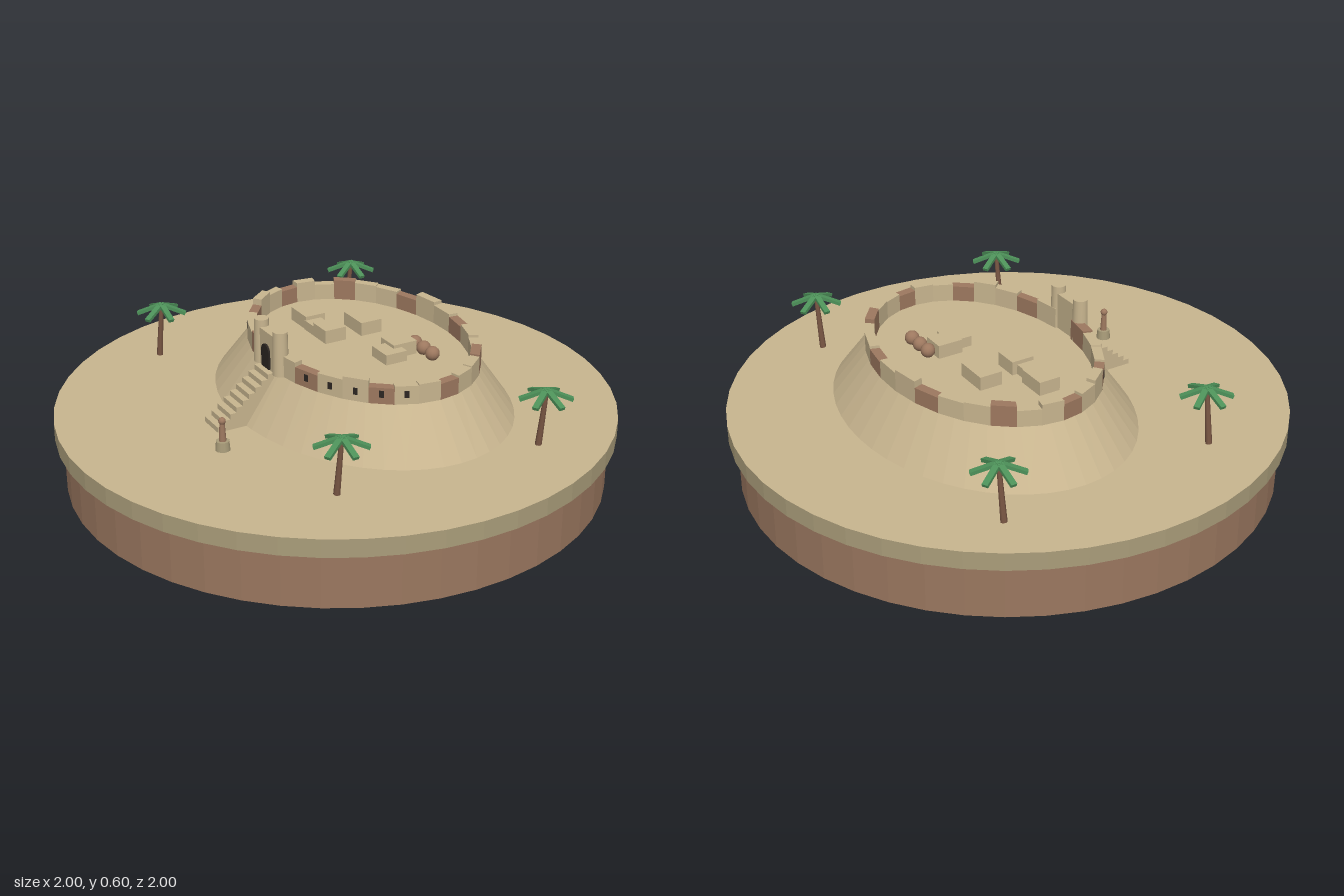
import * as THREE from 'three';

const mat = (name, color) => Object.assign(new THREE.MeshStandardMaterial({ color }), { name });
const sand = mat('sand', 0xc8b58f);
const rim = mat('dry rim', 0xaa9d7a);
const earth = mat('earth', 0x9a775f);
const clay = mat('clay brick', 0x9d785f);
const wood = mat('wood', 0x7a5744);
const leaf = mat('palm leaf', 0x4d9159);
const dark = mat('dark opening', 0x2b2521);

// Faceted normals
const flat = (g) => {
  const f = g.index ? g.toNonIndexed() : g;
  f.computeVertexNormals();
  return f;
};

function add(parent, name, geometry, material, x = 0, y = 0, z = 0, ry = 0) {
  const m = new THREE.Mesh(geometry, material);
  m.name = name;
  m.position.set(x, y, z);
  m.rotation.y = ry;
  parent.add(m);
  return m;
}

const GROUND = 0.265, PLATEAU = 0.44;
const RX = 0.515, RZ = 0.375, THICK = 0.035;
const onEllipse = (a, inset = 0) =>
  new THREE.Vector2((RX - inset) * Math.cos(a), (RZ - inset) * Math.sin(a));

// Elliptical mound from two rings and a cap
function moundGeometry() {
  const n = 48, pos = [], idx = [];
  const ring = (rx, rz, y) => {
    for (let i = 0; i < n; i++) {
      const a = (i / n) * Math.PI * 2;
      pos.push(rx * Math.cos(a), y, rz * Math.sin(a));
    }
  };
  ring(0.651, 0.493, GROUND);
  ring(0.51, 0.37, PLATEAU);
  pos.push(0, PLATEAU, 0);
  for (let i = 0; i < n; i++) {
    const j = (i + 1) % n;
    idx.push(i, n + i, j, j, n + i, n + j, n + i, 2 * n, n + j);
  }
  const g = new THREE.BufferGeometry();
  g.setAttribute('position', new THREE.Float32BufferAttribute(pos, 3));
  g.setIndex(idx);
  return flat(g);
}

// Ring wall of uneven brick segments with small openings at the front
function addWall(parent) {
  const n = 30, step = (Math.PI * 2) / n;
  const heights = [0.07, 0.06, 0.082, 0.066, 0.076, 0.07, 0.058];
  for (let i = 0; i < n; i++) {
    if (i === 7) continue; // gateway
    const a = i * step, b = a + step;
    const h = heights[(i * 3 + (i >> 3)) % heights.length];
    const shape = new THREE.Shape([onEllipse(a), onEllipse(b), onEllipse(b, THICK), onEllipse(a, THICK)]);
    const g = new THREE.ExtrudeGeometry(shape, { depth: h, bevelEnabled: false });
    g.rotateX(Math.PI / 2);
    add(parent, 'wallSegment', g, i % 3 === 2 ? clay : sand, 0, PLATEAU + h, 0);
    if (i >= 1 && i <= 11 && i !== 9 && i !== 6) {
      const p = onEllipse(a), q = onEllipse(b);
      add(parent, 'wallOpening', new THREE.BoxGeometry(0.016, 0.024, 0.006), dark,
        (p.x + q.x) / 2, PLATEAU + 0.036, (p.y + q.y) / 2, Math.atan2(q.y - p.y, p.x - q.x));
    }
  }
}

// Gatehouse: two round towers, a linking wall and an arched door
function addGate(parent) {
  const gate = new THREE.Group();
  gate.name = 'gate';
  gate.position.set(0, PLATEAU, 0.364);
  parent.add(gate);
  for (const s of [-1, 1])
    add(gate, 'gateTower', new THREE.CylinderGeometry(0.026, 0.029, 0.16, 16), sand, s * 0.069, 0.08, 0);
  add(gate, 'gateWall', new THREE.BoxGeometry(0.11, 0.135, 0.035), sand, 0, 0.0675, 0);
  const arch = new THREE.Shape();
  arch.moveTo(-0.027, 0);
  arch.lineTo(0.027, 0);
  arch.lineTo(0.027, 0.06);
  arch.absarc(0, 0.06, 0.027, 0, Math.PI, false);
  const door = new THREE.ExtrudeGeometry(arch, { depth: 0.008, bevelEnabled: false, curveSegments: 10 });
  add(gate, 'gateDoor', door, dark, 0, 0.004, 0.0165);
}

// Solid steps down from the gate
function addStairs(parent) {
  const n = 9, run = 0.0245, rise = (PLATEAU - GROUND) / n;
  for (let i = 0; i < n; i++) {
    const h = PLATEAU - GROUND - i * rise;
    add(parent, 'stairStep', new THREE.BoxGeometry(0.1, h, run), sand, 0, GROUND + h / 2, 0.392 + i * run);
  }
}

// Palm: leaning trunk and six drooping fronds
function addPalm(parent, x, z) {
  const palm = new THREE.Group();
  palm.name = 'palm';
  palm.position.set(x, GROUND, z);
  parent.add(palm);
  const trunk = add(palm, 'palmTrunk', new THREE.CylinderGeometry(0.008, 0.012, 0.2, 7), wood, -0.01, 0.1, 0);
  trunk.rotation.z = -0.1;
  const frond = new THREE.BoxGeometry(0.096, 0.012, 0.021);
  frond.translate(0.048, 0, 0);
  frond.rotateZ(-0.37);
  for (let i = 0; i < 6; i++)
    add(palm, 'palmFrond', frond, leaf, 0, 0.21, 0, -(20 + 60 * i) * Math.PI / 180);
}

export function createModel() {
  const model = new THREE.Group();
  model.name = 'desertFort';

  // Round base
  add(model, 'earthBase', flat(new THREE.CylinderGeometry(0.97, 0.97, 0.2, 48)), earth, 0, 0.1, 0);
  add(model, 'sandDisc', flat(new THREE.CylinderGeometry(1, 1, GROUND - 0.2, 48)), [rim, sand, rim],
    0, (GROUND + 0.2) / 2, 0);

  // Fort on its turned mound
  const fort = new THREE.Group();
  fort.name = 'fort';
  fort.position.set(0.032, 0, -0.105);
  fort.rotation.y = -20 * Math.PI / 180;
  model.add(fort);
  add(fort, 'mound', moundGeometry(), sand);
  addWall(fort);
  addGate(fort);
  addStairs(fort);

  // Houses: x, z, width, height, depth
  const houses = [
    [-0.07, -0.235, 0.125, 0.05, 0.085],
    [-0.255, -0.145, 0.11, 0.05, 0.08],
    [-0.175, -0.105, 0.08, 0.036, 0.065],
    [-0.105, -0.09, 0.09, 0.05, 0.085],
    [0.165, -0.15, 0.085, 0.05, 0.095],
    [0.175, -0.085, 0.095, 0.038, 0.085],
  ];
  for (const [x, z, w, h, d] of houses)
    add(model, 'house', new THREE.BoxGeometry(w, h, d), sand, x, PLATEAU + h / 2, z, fort.rotation.y);

  // Row of clay jars
  for (let i = 0; i < 3; i++)
    add(model, 'clayJar', new THREE.SphereGeometry(0.026, 14, 10), clay,
      0.187 + i * 0.053, PLATEAU + 0.022, -0.215 + i * 0.019);

  // Small statue on a plinth
  const statue = new THREE.Group();
  statue.name = 'statue';
  statue.position.set(-0.027, GROUND, 0.555);
  model.add(statue);
  add(statue, 'statuePlinth', new THREE.CylinderGeometry(0.023, 0.026, 0.034, 12), rim, 0, 0.017, 0);
  add(statue, 'statueBody', new THREE.CylinderGeometry(0.009, 0.013, 0.065, 10), clay, 0, 0.0665, 0);
  add(statue, 'statueHead', new THREE.SphereGeometry(0.013, 12, 8), clay, 0, 0.107, 0);

  for (const [x, z] of [[-0.48, -0.66], [0.78, -0.16], [-0.735, 0.14], [0.485, 0.545]]) addPalm(model, x, z);

  return model;
}
